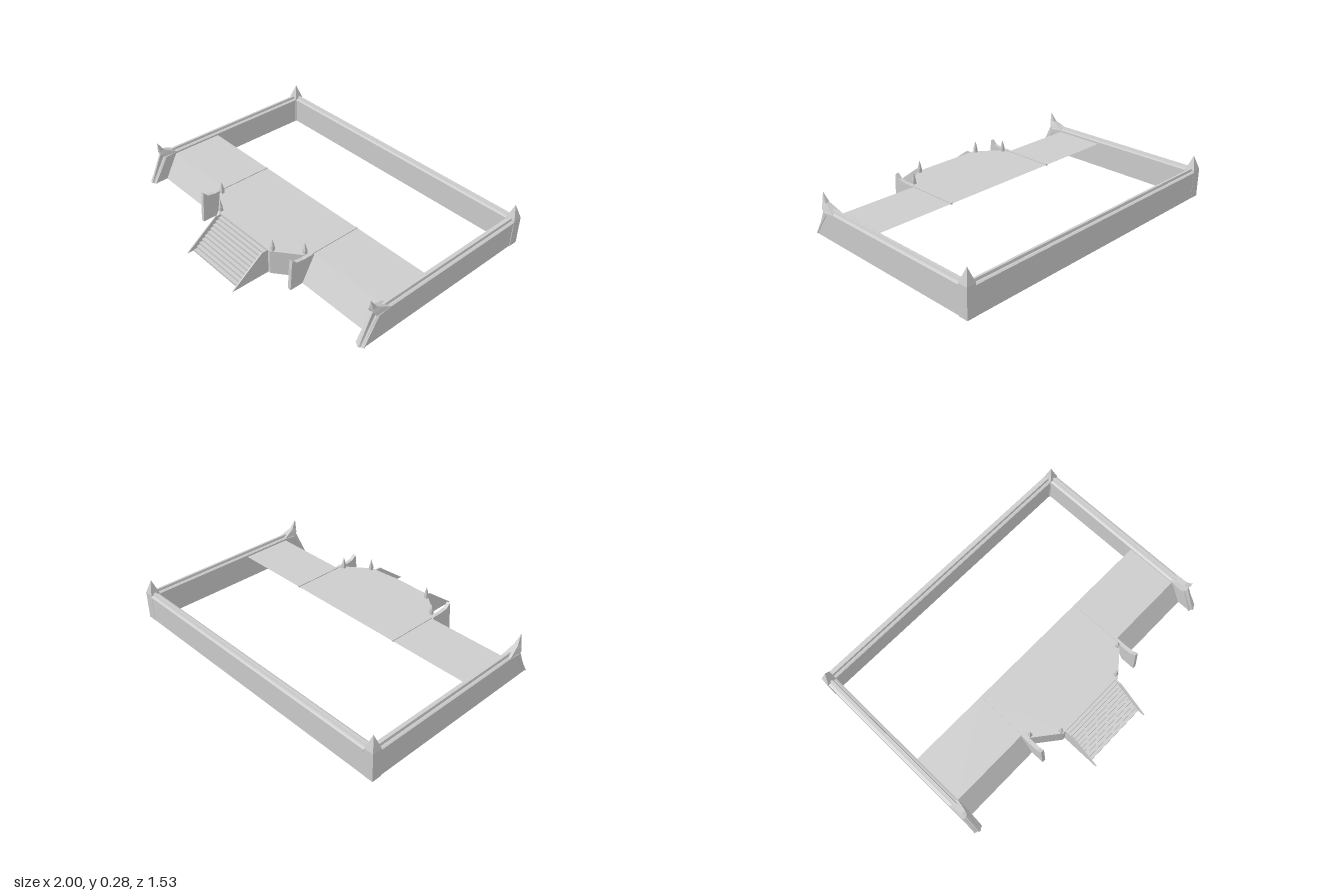
import * as THREE from 'three';

const stone = new THREE.MeshStandardMaterial({ color: 0xcccccc, side: THREE.DoubleSide, flatShading: true });
stone.name = 'pale stone';

// Flat-shaded surface from a list of triangles' corners
function solid(corners) {
  const g = new THREE.BufferGeometry();
  g.setAttribute('position', new THREE.Float32BufferAttribute(corners.flat(), 3));
  g.computeVertexNormals();
  return g;
}

// Joins equal-length rings of [x, y, z] points; caps fill the two ends
function loft(rings, capped = true, closed = true) {
  const out = [];
  const n = rings[0].length;
  for (let r = 0; r < rings.length - 1; r++) {
    for (let i = 0; i < (closed ? n : n - 1); i++) {
      const j = (i + 1) % n;
      const a = rings[r][i], b = rings[r][j], c = rings[r + 1][j], d = rings[r + 1][i];
      out.push(a, b, c, a, c, d);
    }
  }
  if (capped) {
    for (const [ring, flip] of [[rings[0], true], [rings[rings.length - 1], false]]) {
      for (let i = 1; i < n - 1; i++) {
        out.push(ring[0], ...(flip ? [ring[i + 1], ring[i]] : [ring[i], ring[i + 1]]));
      }
    }
  }
  return solid(out);
}

// Side profile of [z, y] points given thickness in x
function prism(profile, width) {
  const sides = [-width / 2, width / 2].map(x => profile.map(([z, y]) => [x, y, z]));
  const out = [];
  profile.forEach((_, i) => {
    const j = (i + 1) % profile.length;
    out.push(sides[0][i], sides[0][j], sides[1][j], sides[0][i], sides[1][j], sides[1][i]);
  });
  const tris = THREE.ShapeUtils.triangulateShape(profile.map(p => new THREE.Vector2(...p)), []);
  for (const [a, b, c] of tris) {
    out.push(sides[0][a], sides[0][c], sides[0][b], sides[1][a], sides[1][b], sides[1][c]);
  }
  return solid(out);
}

// Single planar face from its outline
function sheet(points) {
  const out = [];
  for (let i = 1; i < points.length - 1; i++) out.push(points[0], points[i], points[i + 1]);
  return solid(out);
}

// Moulded coping section: [sideways offset, fraction of height]
const half = [[0.03, 0], [0.03, 0.35], [0.02, 0.5], [0.012, 0.55], [0.007, 1]];
const moulding = [...half, ...half.slice().reverse().map(([x, t]) => [-x, t])];

// Coping follows stations of [base z, base y, top z, top y]
function coping(stations) {
  return loft(stations.map(([bz, by, tz, ty]) =>
    moulding.map(([x, t]) => [x, by + (ty - by) * t, bz + (tz - bz) * t])));
}

export function createModel() {
  const model = new THREE.Group();
  model.name = 'walledTerrace';
  const add = (name, geometry, x = 0, y = 0, z = 0, parent = model) => {
    const m = new THREE.Mesh(geometry, stone);
    m.name = name;
    m.position.set(x, y, z);
    parent.add(m);
    return m;
  };
  const floorY = 0.172, base = 0.01;

  // Side walls, front horns and rear corner posts
  const wallGeo = prism([[-0.74, base], [-0.74, 0.18], [0.34, 0.18], [0.4, 0.17], [0.518, base]], 0.052);
  const copingGeo = coping([
    [-0.735, 0.175, -0.735, 0.205], [0.33, 0.175, 0.33, 0.205],
    [0.4, 0.165, 0.445, 0.2], [0.512, base, 0.533, base],
  ]);
  const hornGeo = loft([
    [0.33, 0.435, 0.186, 0.03], [0.375, 0.445, 0.208, 0.022],
    [0.418, 0.45, 0.228, 0.013], [0.4545, 0.4555, 0.284, 0.0005],
  ].map(([z0, z1, y, w]) => [[-w, y, z0], [w, y, z0], [w, y, z1], [-w, y, z1]]));
  const capGeo = new THREE.ConeGeometry(0.03 * Math.SQRT2, 0.089, 4).rotateY(Math.PI / 4);

  for (const s of [1, -1]) {
    const side = s > 0 ? 'left' : 'right';
    add(side + 'Wall', wallGeo, s * 0.97);
    add(side + 'Coping', copingGeo, s * 0.97);
    add(side + 'FrontHorn', hornGeo, s * 0.97);
    add(side + 'RearPost', new THREE.BoxGeometry(0.06, 0.185, 0.06), s * 0.97, base + 0.0925, -0.732);
    add(side + 'RearPostCap', capGeo, s * 0.97, 0.2395, -0.732);

    // Side terrace: floor and leaning front panel
    const a = s * 0.41, b = s * 0.95;
    add(side + 'Floor', sheet([[a, floorY, 0], [a, floorY, 0.34], [b, floorY, 0.34], [b, floorY, 0]]));
    add(side + 'FrontPanel', sheet([[a, floorY, 0.34], [a, base, 0.43], [b, base, 0.43], [b, floorY, 0.34]]));

    // Dividing rib and front buttress with a pointed crest
    add(side + 'Rib', new THREE.BoxGeometry(0.012, 0.01, 0.36), s * 0.412, floorY, 0.18);
    add(side + 'Buttress', prism([
      [0.34, 0.168], [0.35, 0.177], [0.42, 0.177], [0.47, 0.185], [0.5, 0.213],
      [0.506, 0.16], [0.512, 0.07], [0.517, base], [0.42, base],
    ], 0.024), s * 0.412);

    // Slanted skirt of the central platform
    add(side + 'Skirt', sheet([
      [s * 0.41, floorY, 0.375], [s * 0.41, base, 0.375], [s * 0.24, base, 0.51], [s * 0.24, floorY, 0.51],
    ]));

    // Slender finials on the platform edge
    for (const [x, z] of [[0.384, 0.375], [0.242, 0.49]]) {
      add(side + 'FinialBase', new THREE.BoxGeometry(0.02, 0.03, 0.02), s * x, floorY + 0.013, z);
      add(side + 'FinialSpike', new THREE.ConeGeometry(0.013, 0.052, 4).rotateY(Math.PI / 4),
        s * x, 0.226, z);
    }

    // Stair cheek plates
    add(side + 'StairCheek', prism([[0.5, base], [0.5, 0.171], [0.55, 0.171], [0.765, base]], 0.008), s * 0.219);
  }

  // Rear wall and coping
  add('rearWall', new THREE.BoxGeometry(1.9, 0.17, 0.052), 0, base + 0.085, -0.735);
  const rear = add('rearCoping', coping([[-0.94, 0.175, -0.94, 0.205], [0.94, 0.175, 0.94, 0.205]]), 0, 0, -0.735);
  rear.rotation.y = Math.PI / 2;

  // Central platform
  const plan = [[-0.41, 0], [-0.41, 0.375], [-0.24, 0.51], [0.24, 0.51], [0.41, 0.375], [0.41, 0]];
  add('platformFloor', sheet(plan.map(([x, z]) => [x, floorY, z])));
  add('platformFront', sheet([[-0.24, floorY, 0.51], [-0.24, base, 0.51], [0.24, base, 0.51], [0.24, floorY, 0.51]]));

  // Open-backed flight of steps
  const steps = 11, rise = floorY / steps, run = 0.21 / (steps - 1);
  const zigzag = [];
  for (let i = 0; i < steps; i++) {
    const z = 0.51 + i * run, y = floorY - i * rise;
    zigzag.push([z, y], [z, y - rise]);
  }
  add('stairs', loft([-0.218, 0.218].map(x => zigzag.map(([z, y]) => [x, y, z])), false, false));

  return model;
}
